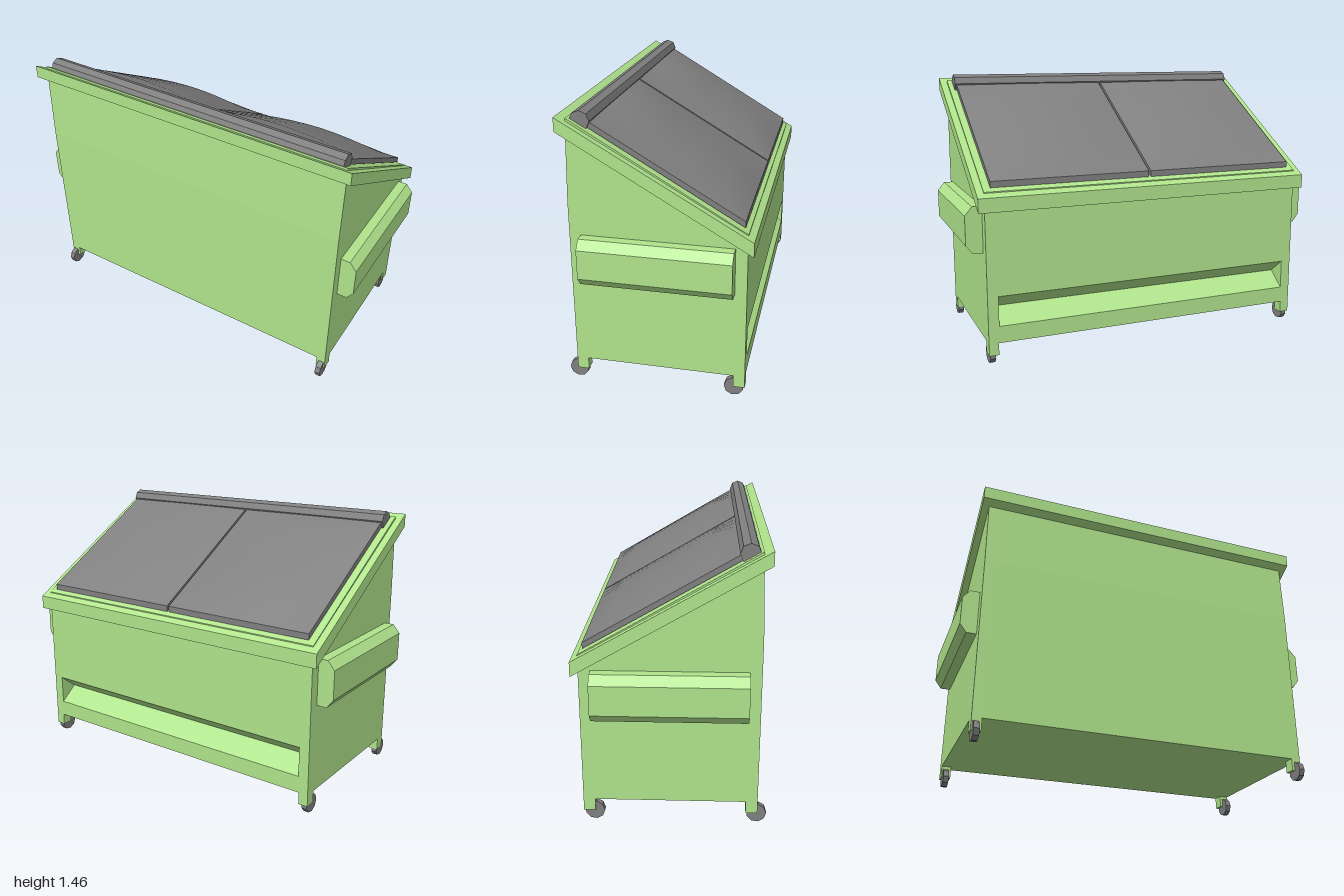
import * as THREE from 'three';

const green = new THREE.MeshStandardMaterial({ color: 0xb0e48c });
const grey = new THREE.MeshStandardMaterial({ color: 0x808080, flatShading: true });
const lidGrey = new THREE.MeshStandardMaterial({ color: 0x808080 });

// Top plane of the bin, sloping down towards the back
const slopeY = z => 1.178 + 0.585 * z;

function add(parent, name, geometry, material) {
  const mesh = new THREE.Mesh(geometry, material);
  mesh.name = name;
  parent.add(mesh);
  return mesh;
}

// Extrude a [z, y] side profile from x0 to x1
function sideExtrude(profile, x0, x1) {
  const shape = new THREE.Shape(profile.map(([z, y]) => new THREE.Vector2(-z, y)));
  return new THREE.ExtrudeGeometry(shape, { depth: x1 - x0, bevelEnabled: false })
    .rotateY(Math.PI / 2).translate(x0, 0, 0);
}

// Lid half: a slab on the slope with a gently crowned top
function lidGeometry(x0, x1) {
  const zs = [0.33, 0.19, 0.03, -0.13, -0.3, -0.43], n = 10;
  const bottom = z => slopeY(z) + 0.005;
  const top = (u, i) => slopeY(zs[i]) + 0.037 +
    (i > 0 && i < zs.length - 1 ? 0.046 * Math.sin(Math.PI * u) : 0);
  const pos = [], idx = [];
  const vertex = (x, y, z) => pos.push(x, y, z) / 3 - 1;
  const quad = (a, b, c, d) => idx.push(a, b, c, a, c, d);
  // crowned top surface
  zs.forEach((z, i) => {
    for (let j = 0; j <= n; j++) vertex(x0 + (x1 - x0) * j / n, top(j / n, i), z);
  });
  for (let i = 0; i < zs.length - 1; i++) {
    for (let j = 0; j < n; j++) {
      const a = i * (n + 1) + j;
      quad(a, a + 1, a + n + 2, a + n + 1);
    }
  }
  // four straight edges and the underside
  const [zf, zb] = [zs[0], zs[zs.length - 1]];
  const corners = [[x0, zf], [x1, zf], [x1, zb], [x0, zb]];
  corners.forEach(([xa, za], k) => {
    const [xb, zc] = corners[(k + 1) % 4];
    quad(vertex(xa, bottom(za), za), vertex(xb, bottom(zc), zc),
      vertex(xb, slopeY(zc) + 0.037, zc), vertex(xa, slopeY(za) + 0.037, za));
  });
  quad(...[...corners].reverse().map(([x, z]) => vertex(x, bottom(z), z)));
  const g = new THREE.BufferGeometry();
  g.setAttribute('position', new THREE.Float32BufferAttribute(pos, 3));
  g.setIndex(idx);
  g.computeVertexNormals();
  return g;
}

export function createModel() {
  const model = new THREE.Group();
  model.name = 'dumpster';

  // Body: grooved middle section between two plain end sections
  const upper = [[0.44, 0.12], [0.44, 1.0], [0.427, slopeY(0.427)], [-0.45, slopeY(-0.45)]];
  const groove = [[-0.45, 0.37], [-0.35, 0.29], [-0.45, 0.21]];
  const body = new THREE.Group();
  body.name = 'body';
  model.add(body);
  add(body, 'bodyMiddle', sideExtrude([...upper, ...groove, [-0.45, 0.12]], -0.855, 0.855), green);
  for (const [x0, x1] of [[-0.912, -0.855], [0.855, 0.912]]) {
    add(body, 'bodyEnd', sideExtrude([...upper, [-0.45, 0.12]], x0, x1), green);
  }

  // Sloping rim around the top
  add(model, 'rim', sideExtrude(
    [[0.47, 1.37], [0.47, 1.44], [-0.483, 0.89], [-0.483, 0.815]], -0.95, 0.95), green);

  // Two lid halves and the hinge bar
  add(model, 'leftLid', lidGeometry(0.006, 0.875), lidGrey);
  add(model, 'rightLid', lidGeometry(-0.875, -0.006), lidGrey);
  const hinge = add(model, 'hingeBar', new THREE.CylinderGeometry(0.05, 0.05, 1.77, 8), grey);
  hinge.rotation.z = Math.PI / 2;
  hinge.position.set(0, 1.411, 0.368);

  // Fork sleeves, legs and wheels on both sides
  for (const s of [-1, 1]) {
    const section = [[0.9, 0.59], [0.965, 0.59], [1.0, 0.635], [1.0, 0.79], [0.962, 0.835], [0.9, 0.835]];
    const shape = new THREE.Shape(section.map(([x, y]) => new THREE.Vector2(s * x, y)));
    add(model, s > 0 ? 'leftForkSleeve' : 'rightForkSleeve',
      new THREE.ExtrudeGeometry(shape, { depth: 0.77, bevelEnabled: false }).translate(0, 0, -0.39), green);

    for (const [legZ, wheelZ] of [[0.41, 0.435], [-0.42, -0.393]]) {
      const leg = add(model, 'leg', new THREE.BoxGeometry(0.052, 0.07, 0.06), green);
      leg.position.set(s * 0.886, 0.09, legZ);
      const wheel = add(model, 'wheel', new THREE.CylinderGeometry(0.051, 0.051, 0.03, 9), grey);
      wheel.rotation.z = Math.PI / 2;
      wheel.position.set(s * 0.89, 0.051, wheelZ);
    }
  }
  return model;
}
